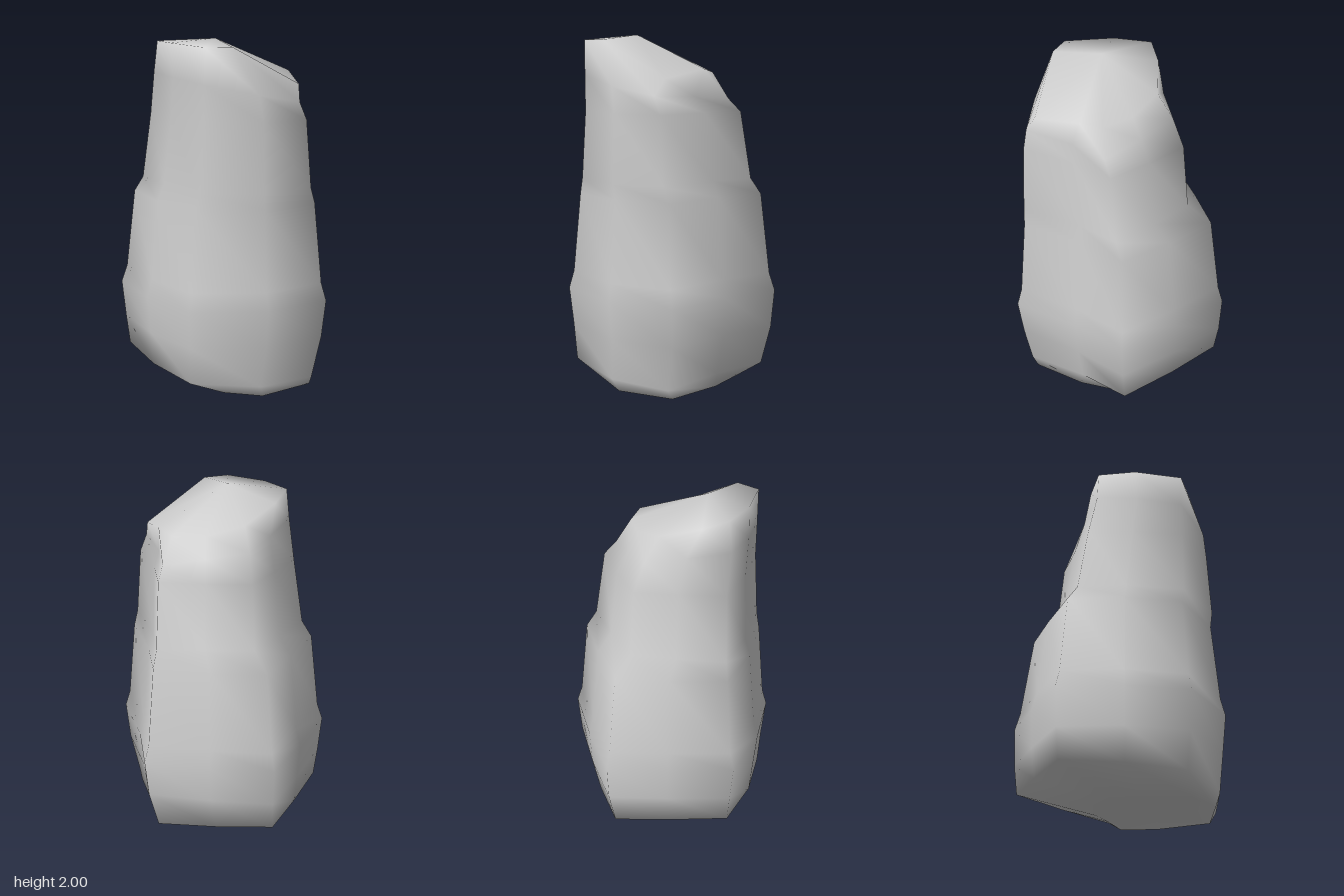
import * as THREE from 'three';

// Five-sided plan of the widest part as [x, z], running back -> left -> front -> right
const plan = [[-0.01, -0.62], [0.3, -0.42], [0.6, -0.19], [0.49, 0.14], [0.42, 0.54],
  [0.04, 0.62], [-0.38, 0.5], [-0.53, 0.17], [-0.6, -0.19], [-0.3, -0.42]];

// Body levels: height, scale of width, front and back, then optional x and z shift and x and z tilt
const levels = [
  [0.11, 0.9, 0.92, 0.94, -0.02, 0, -0.05, -0.05],
  [0.32, 0.965, 0.96, 0.985],
  [0.54, 1, 1, 1],
  [0.64, 0.945, 0.96, 0.95],
  [1.1, 0.86, 0.9, 0.84],
  [1.19, 0.79, 0.92, 0.61],
  [1.57, 0.72, 0.81, 0.63, 0, 0.05],
  [1.72, 0.67, 0.73, 0.58, -0.02, 0.09, -0.2],
];

// Footprint and crown as [x, y, z], in the same order as the plan
const foot = [[0.08, 0.02, -0.14], [0.25, 0.03, -0.12], [0.42, 0.02, -0.08], [0.42, 0.01, 0.14], [0.36, 0.01, 0.46],
  [0.04, 0.01, 0.54], [-0.16, 0.02, 0.45], [-0.2, 0.03, 0.17], [-0.2, 0.03, 0], [-0.1, 0.03, -0.1]];
const crown = [[-0.05, 1.85, -0.17], [0.16, 1.8, -0.1], [0.3, 1.79, 0.02], [0.33, 1.81, 0.14], [0.28, 1.76, 0.42],
  [-0.12, 1.97, 0.47], [-0.27, 1.97, 0.46], [-0.38, 1.98, 0.2], [-0.4, 1.98, -0.02], [-0.28, 1.93, -0.1]];

// Scales, shifts and tilts the plan to one level
function section([y, width, front, back, shiftX = 0, shiftZ = 0, tiltX = 0, tiltZ = 0]) {
  return plan.map(([px, pz]) => {
    const x = px * width + shiftX;
    const z = pz * (pz > 0 ? front : back) + shiftZ;
    return [x, y + tiltX * x + tiltZ * z, z];
  });
}

// Skins the rings and closes both ends with a fan
function skin(rings, bottom, top) {
  const n = plan.length;
  const points = [...rings.flat(), bottom, top];
  const bottomId = points.length - 2, topId = points.length - 1;
  const last = (rings.length - 1) * n;
  const index = [];
  for (let j = 0; j < n; j++) {
    const k = (j + 1) % n;
    for (let r = 0; r < last; r += n) {
      index.push(r + j, r + n + j, r + n + k, r + j, r + n + k, r + k);
    }
    index.push(bottomId, j, k, topId, last + k, last + j);
  }
  const geometry = new THREE.BufferGeometry();
  geometry.setAttribute('position', new THREE.Float32BufferAttribute(points.flat(), 3));
  geometry.setIndex(index);
  geometry.computeVertexNormals();
  return geometry;
}

export function createModel() {
  const group = new THREE.Group();
  group.name = 'rock';
  // One smooth boulder with a slanted crown and a ledge at the back
  const boulder = new THREE.Mesh(
    skin([foot, ...levels.map(section), crown], [0.14, 0, 0.18], [-0.12, 2, 0.18]),
    new THREE.MeshStandardMaterial({ color: 0xcccccc })
  );
  boulder.name = 'boulder';
  group.add(boulder);
  return group;
}
